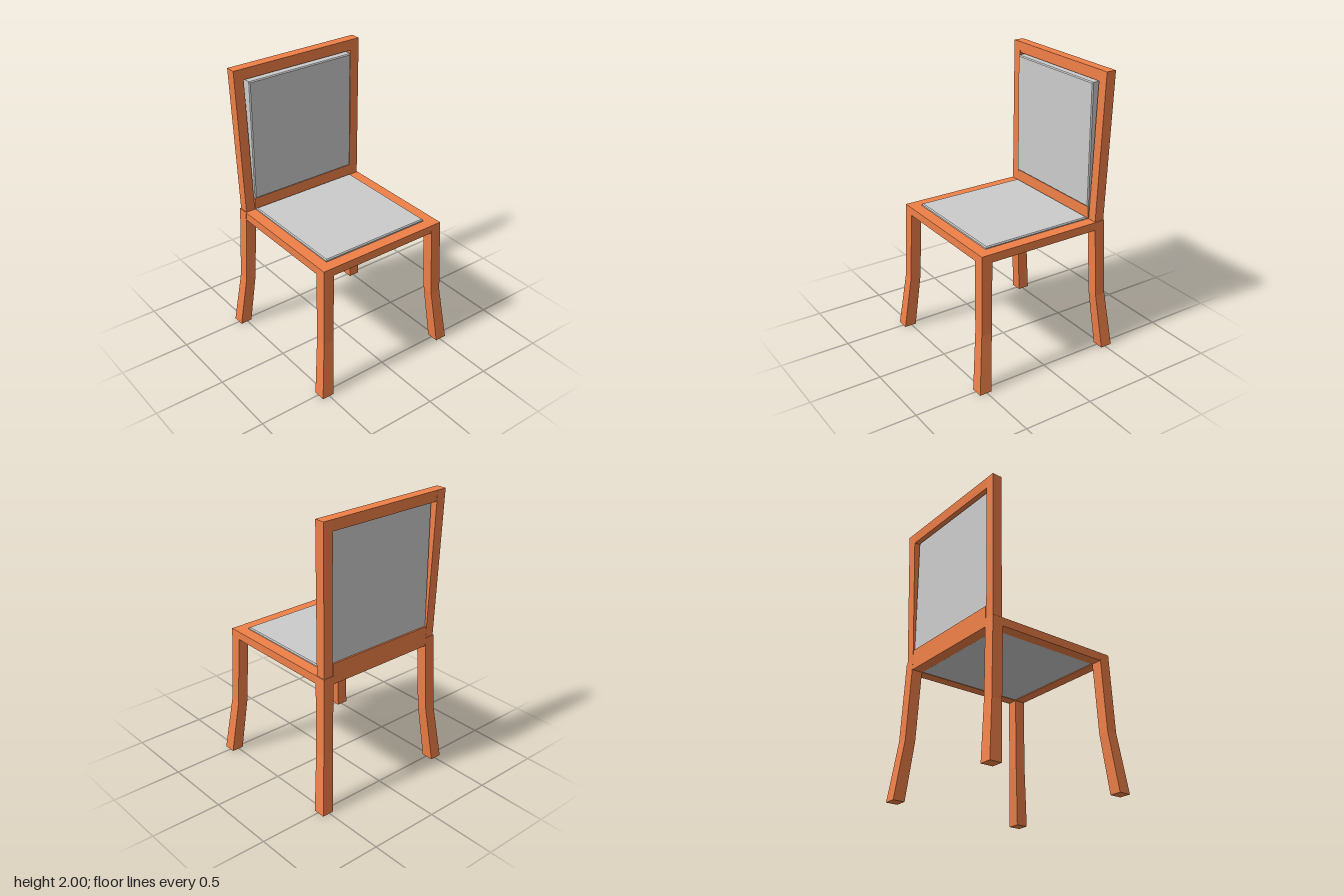
import * as THREE from 'three';

const wood = new THREE.MeshStandardMaterial({ color: 0xf08048, flatShading: true });
const pad = new THREE.MeshStandardMaterial({ color: 0xcccccc, flatShading: true });

// Solid through rectangular sections [y, x0, x1, z0, z1], listed from bottom to top
function loft(sections) {
  const pos = [], idx = [];
  for (const [y, x0, x1, z0, z1] of sections) pos.push(x0, y, z1, x1, y, z1, x1, y, z0, x0, y, z0);
  for (let s = 0; s < sections.length - 1; s++) {
    for (let i = 0; i < 4; i++) {
      const a = s * 4 + i, b = s * 4 + (i + 1) % 4;
      idx.push(a, b, b + 4, a, b + 4, a + 4);
    }
  }
  const t = (sections.length - 1) * 4;
  idx.push(0, 2, 1, 0, 3, 2, t, t + 1, t + 2, t, t + 2, t + 3);
  const indexed = new THREE.BufferGeometry();
  indexed.setAttribute('position', new THREE.Float32BufferAttribute(pos, 3));
  indexed.setIndex(idx);
  const geo = indexed.toNonIndexed();
  geo.computeVertexNormals();
  return geo;
}

// Splayed bar in one corner; rows are [y, x inner, x outer, z inner, z outer] from the centre
function cornerBar(rows, sx, sz) {
  const span = (s, a, b) => (s > 0 ? [a, b] : [-b, -a]);
  return loft(rows.map(([y, xa, xb, za, zb]) => [y, ...span(sx, xa, xb), ...span(sz, za, zb)]));
}

// Cushion panel with a small bevel around its upper face
function panel(w, d, y0, y1, bevel = 0.007) {
  const x = w / 2, z = d / 2;
  return loft([
    [y0, -x, x, -z, z],
    [y1 - bevel, -x, x, -z, z],
    [y1, -x + bevel, x - bevel, -z + bevel, z - bevel],
  ]);
}

export function createModel() {
  const chair = new THREE.Group();
  chair.name = 'chair';
  const add = (name, geo, mat = wood) => {
    const mesh = new THREE.Mesh(geo, mat);
    mesh.name = name;
    chair.add(mesh);
  };

  // Legs bend outward below the knee and rise to the seat corners
  const legRows = [[0, 0.467, 0.553], [0.41, 0.43, 0.507], [0.967, 0.41, 0.489]]
    .map(([y, a, b]) => [y, a, b, a, b]);
  // Back posts lean out slightly toward the top
  const postRows = [[0.967, 0.415, 0.483, 0.415, 0.485], [2, 0.434, 0.505, 0.438, 0.51]];
  for (const sx of [1, -1]) {
    const side = sx > 0 ? 'Left' : 'Right';
    add('front' + side + 'Leg', cornerBar(legRows, sx, 1));
    add('back' + side + 'Leg', cornerBar(legRows, sx, -1));
    add('back' + side + 'Post', cornerBar(postRows, sx, -1));
    const [x0, x1] = sx > 0 ? [0.41, 0.489] : [-0.489, -0.41];
    add('seat' + side + 'Rail', loft([0.909, 0.967].map((y) => [y, x0, x1, -0.412, 0.412])));
  }

  // Cross rails; the back one rises above the seat to carry the back panel
  add('seatFrontRail', loft([0.909, 0.967].map((y) => [y, -0.412, 0.412, 0.41, 0.489])));
  add('seatBackRail', loft([0.909, 1.053].map((y) => [y, -0.411, 0.411, -0.489, -0.41])));
  add('topRail', loft([[1.925, -0.434, 0.434, -0.505, -0.437], [2, -0.436, 0.436, -0.51, -0.438]]));

  // Cushions: seat, and upright back standing on the back rail
  add('seatPanel', panel(0.818, 0.812, 0.912, 0.98), pad);
  const backGeo = panel(0.822, 0.862, -0.478, -0.405);
  backGeo.rotateX(Math.PI / 2).translate(0, 1.484, 0);
  add('backPanel', backGeo, pad);

  return chair;
}
